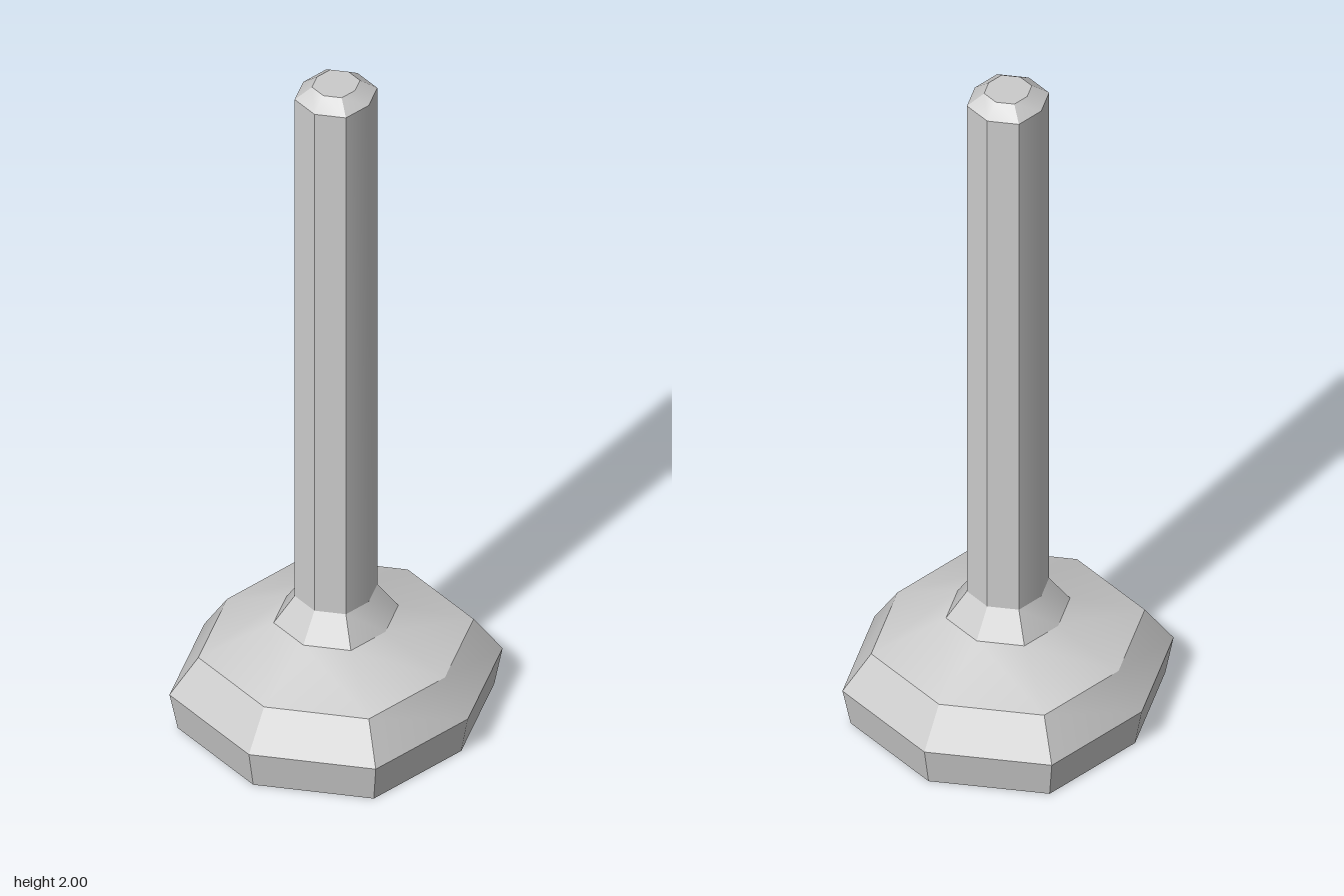
import * as THREE from 'three';
import { toCreasedNormals } from 'three/addons/utils/BufferGeometryUtils.js';

const material = new THREE.MeshStandardMaterial({ color: 0xcccccc });

// Eight-sided turned part; the octagon is slightly longer in z, with pushed-out diagonals.
function turned(name, profile) {
  const points = profile.map(([r, y]) => new THREE.Vector2(r, y));
  const geometry = new THREE.LatheGeometry(points, 8);
  const pos = geometry.attributes.position;
  for (let i = 0; i < pos.count; i++) {
    const x = pos.getX(i), z = pos.getZ(i);
    const diagonal = Math.abs(x) > 1e-4 && Math.abs(z) > 1e-4;
    pos.setX(i, x * (diagonal ? 1.107 : 1));
    pos.setZ(i, z * (diagonal ? 1.107 : 1.075));
  }
  const mesh = new THREE.Mesh(toCreasedNormals(geometry, THREE.MathUtils.degToRad(32)), material);
  mesh.name = name;
  return mesh;
}

export function createModel() {
  const group = new THREE.Group();
  group.name = 'plunger';

  // Hollow cup: inner cone, lip, outer wall, bevel, shoulder and collar
  group.add(turned('cup', [
    [0, 0.28], [0.335, 0.03], [0.33, 0], [0.383, 0], [0.403, 0.11],
    [0.333, 0.217], [0.151, 0.295], [0.1, 0.372],
  ]));

  // Long handle with a chamfered tip
  group.add(turned('handle', [[0.1, 0.372], [0.1, 1.968], [0.058, 2], [0, 2]]));

  return group;
}
